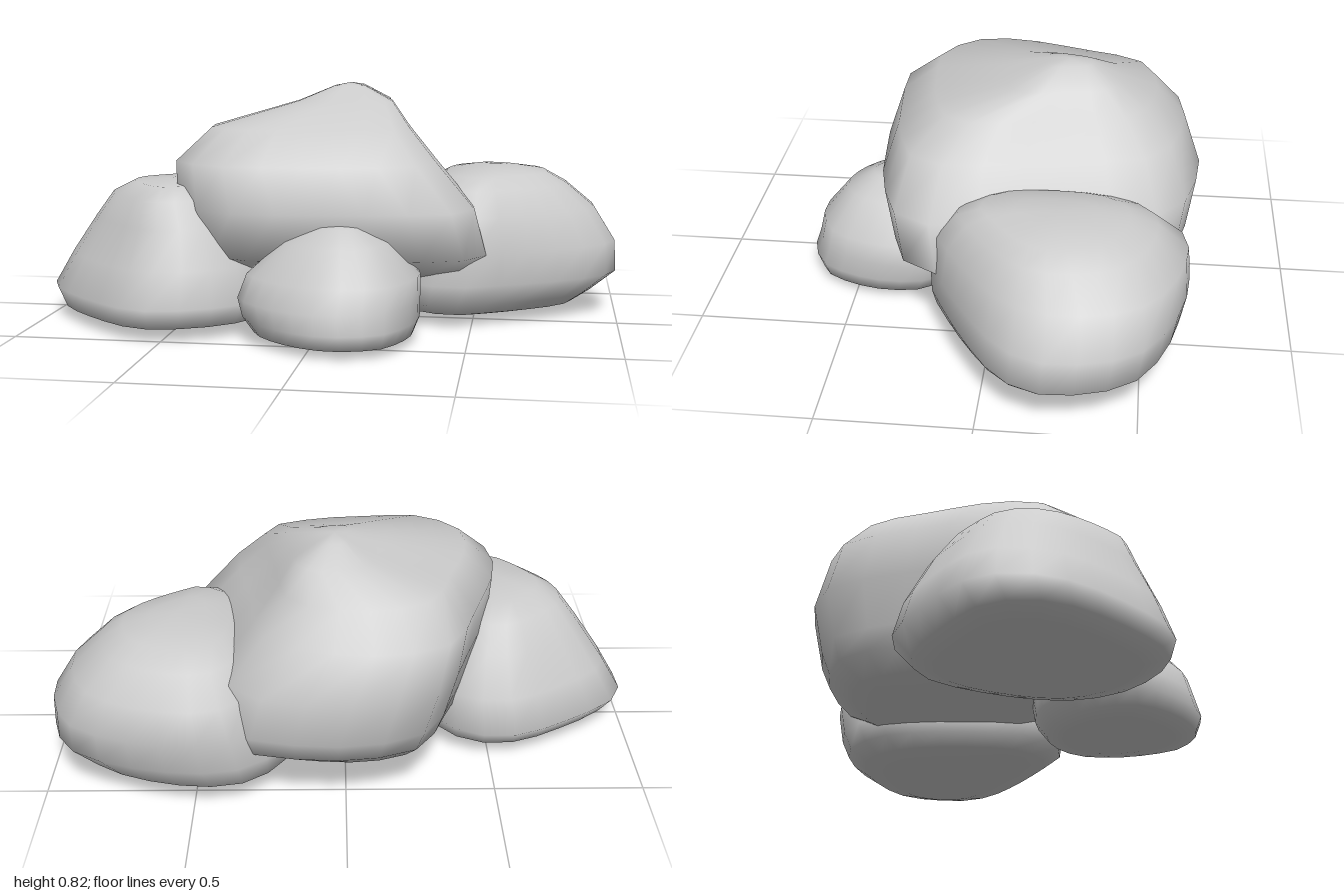
import * as THREE from 'three';

const SEGMENTS = 24;

// Lofts a boulder: one plan outline [x, z] (anticlockwise from above) is fitted
// into the bounds of each level [y, xMin, xMax, zMin, zMax], bottom to top.
function boulder(name, plan, levels, material) {
  const curve = new THREE.CatmullRomCurve3(
    plan.map(([x, z]) => new THREE.Vector3(x, 0, z)), true, 'centripetal');
  const ring = curve.getSpacedPoints(SEGMENTS).slice(0, SEGMENTS);
  const box = new THREE.Box3().setFromPoints(ring);
  const size = box.getSize(new THREE.Vector3());

  const positions = [], index = [];
  for (const [y, x0, x1, z0, z1] of levels) {
    for (const p of ring) {
      const u = (p.x - box.min.x) / size.x;
      const v = (p.z - box.min.z) / size.z;
      positions.push(x0 + u * (x1 - x0), y, z0 + v * (z1 - z0));
    }
  }
  for (let i = 0; i < levels.length - 1; i++) {
    for (let j = 0; j < SEGMENTS; j++) {
      const k = (j + 1) % SEGMENTS;
      const a = i * SEGMENTS + j, b = i * SEGMENTS + k;
      index.push(a, b, b + SEGMENTS, a, b + SEGMENTS, a + SEGMENTS);
    }
  }
  // Close the underside and the crown with fans
  const cap = (level, start, isTop) => {
    const [y, x0, x1, z0, z1] = level;
    const centre = positions.length / 3;
    positions.push((x0 + x1) / 2, y + (isTop ? 0.01 : -0.01), (z0 + z1) / 2);
    for (let j = 0; j < SEGMENTS; j++) {
      const a = start + j, b = start + (j + 1) % SEGMENTS;
      if (isTop) index.push(centre, a, b);
      else index.push(centre, b, a);
    }
  };
  cap(levels[0], 0, false);
  cap(levels[levels.length - 1], (levels.length - 1) * SEGMENTS, true);

  const geometry = new THREE.BufferGeometry();
  geometry.setAttribute('position', new THREE.Float32BufferAttribute(positions, 3));
  geometry.setIndex(index);
  geometry.computeVertexNormals();
  const mesh = new THREE.Mesh(geometry, material);
  mesh.name = name;
  return mesh;
}

export function createModel() {
  const group = new THREE.Group();
  group.name = 'boulderPile';
  const stone = new THREE.MeshStandardMaterial({ color: 0xcccccc });
  stone.name = 'grey stone';

  // Large boulder resting on the others
  group.add(boulder('topBoulder', [
    [0.55, 0.2], [0.48, -0.2], [0.39, -0.58], [0.14, -0.68], [-0.1, -0.68], [-0.29, -0.6],
    [-0.42, -0.28], [-0.51, 0.02], [-0.5, 0.25], [-0.3, 0.43], [0, 0.43], [0.26, 0.4], [0.5, 0.31],
  ], [
    [0.12, -0.35, 0.34, -0.52, 0.08],
    [0.19, -0.44, 0.52, -0.62, 0.25],
    [0.26, -0.48, 0.55, -0.65, 0.40],
    [0.42, -0.52, 0.51, -0.68, 0.44],
    [0.57, -0.53, 0.38, -0.62, 0.39],
    [0.68, -0.42, 0.28, -0.52, 0.26],
    [0.76, -0.14, 0.2, -0.4, 0],
    [0.81, -0.02, 0.09, -0.3, -0.14],
  ], stone));

  // Wide boulder on the -x side
  group.add(boulder('rightBoulder', [
    [-0.17, 0.2], [-0.25, -0.1], [-0.4, -0.31], [-0.57, -0.34], [-0.8, -0.22],
    [-0.97, -0.07], [-0.99, 0.09], [-0.92, 0.24], [-0.66, 0.49], [-0.56, 0.54],
    [-0.43, 0.52], [-0.25, 0.4],
  ], [
    [0.025, -0.86, -0.27, -0.2, 0.43],
    [0.045, -0.96, -0.2, -0.28, 0.52],
    [0.11, -1, -0.17, -0.34, 0.54],
    [0.23, -0.93, -0.2, -0.31, 0.5],
    [0.36, -0.84, -0.27, -0.24, 0.44],
    [0.45, -0.77, -0.34, -0.17, 0.4],
    [0.49, -0.69, -0.41, -0.08, 0.32],
  ], stone));

  // Rounded boulder on the +x side
  group.add(boulder('leftBoulder', [
    [1, -0.22], [0.97, -0.42], [0.91, -0.52], [0.78, -0.6], [0.6, -0.65], [0.44, -0.64],
    [0.3, -0.5], [0.26, -0.2], [0.32, 0.08], [0.5, 0.19], [0.62, 0.14], [0.84, 0], [0.95, -0.1],
  ], [
    [0.012, 0.4, 0.75, -0.43, -0.03],
    [0.04, 0.22, 0.85, -0.54, 0.13],
    [0.08, 0.17, 0.91, -0.6, 0.19],
    [0.15, 0.16, 1, -0.63, 0.2],
    [0.26, 0.19, 0.995, -0.65, 0.2],
    [0.38, 0.25, 0.92, -0.64, 0.18],
    [0.465, 0.32, 0.82, -0.54, 0.11],
    [0.505, 0.39, 0.75, -0.45, 0.03],
    [0.52, 0.47, 0.66, -0.35, -0.08],
  ], stone));

  // Small boulder at the front
  group.add(boulder('frontBoulder', [
    [0.34, 0.4], [0.32, 0.22], [0.18, 0.1], [-0.05, 0.1], [-0.21, 0.24],
    [-0.25, 0.42], [-0.11, 0.6], [0.08, 0.68], [0.25, 0.62], [0.31, 0.51],
  ], [
    [0.01, -0.13, 0.22, 0.2, 0.58],
    [0.03, -0.2, 0.32, 0.14, 0.66],
    [0.08, -0.24, 0.34, 0.1, 0.68],
    [0.14, -0.26, 0.34, 0.09, 0.66],
    [0.22, -0.23, 0.34, 0.1, 0.64],
    [0.33, -0.11, 0.24, 0.18, 0.55],
    [0.38, 0, 0.15, 0.26, 0.46],
  ], stone));

  return group;
}
